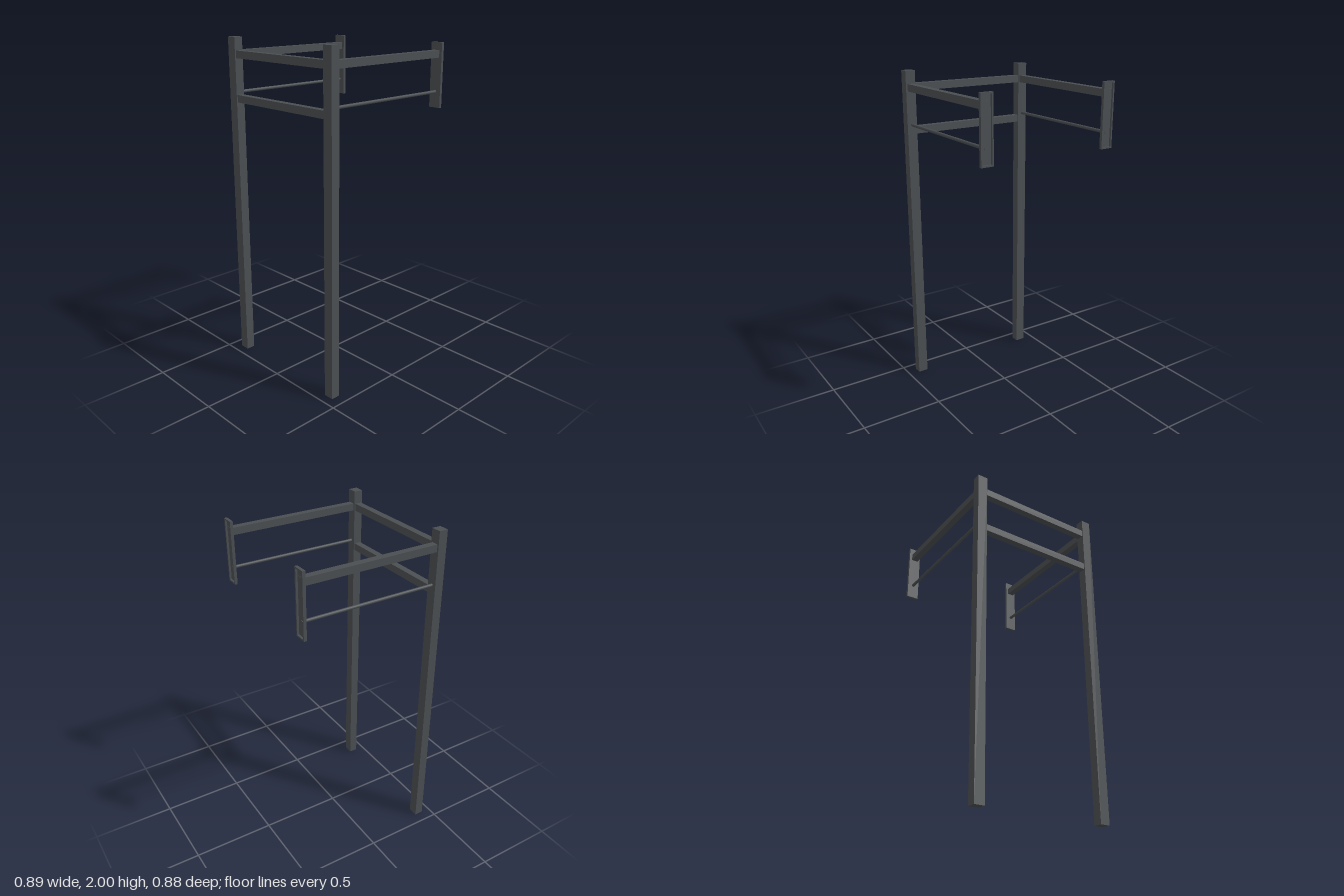
import * as THREE from 'three';

export function createModel() {
  const group = new THREE.Group();
  const steel = new THREE.MeshStandardMaterial({ color: 0x4b4f52 });
  steel.name = 'dark grey steel';

  const add = (name, geometry, x, y, z, parent = group) => {
    const mesh = new THREE.Mesh(geometry, steel);
    mesh.name = name;
    mesh.position.set(x, y, z);
    parent.add(mesh);
    return mesh;
  };
  const box = (w, h, d) => new THREE.BoxGeometry(w, h, d);

  const postX = -0.418, plateX = 0.426, sideZ = 0.403;
  const beamY = 1.902, rodY = 1.681, plateY = 1.778;
  const plateW = 0.076, plateH = 0.38, rim = 0.009;

  // End plate rim: a shallow frame opening outward
  const rect = (p, w, h) => {
    p.moveTo(-w / 2, -h / 2);
    p.lineTo(w / 2, -h / 2);
    p.lineTo(w / 2, h / 2);
    p.lineTo(-w / 2, h / 2);
    p.closePath();
    return p;
  };
  const frame = rect(new THREE.Shape(), plateW, plateH);
  frame.holes.push(rect(new THREE.Path(), plateW - 2 * rim, plateH - 2 * rim));
  const rimGeometry = new THREE.ExtrudeGeometry(frame, { depth: 0.018, bevelEnabled: false });
  rimGeometry.rotateY(Math.PI / 2);

  // Two mirrored sides: post, long beam, thin rod and end plate
  for (const s of [1, -1]) {
    const side = new THREE.Group();
    side.name = s > 0 ? 'frontSide' : 'backSide';
    side.position.z = s * sideZ;
    group.add(side);

    add('post', box(0.054, 2, 0.062), postX, 1, 0, side);
    const start = postX + 0.02, end = plateX + 0.008;
    const length = end - start, middle = (start + end) / 2;
    add('beam', box(length, 0.043, 0.041), middle, beamY, 0, side);
    const rod = new THREE.CylinderGeometry(0.0095, 0.0095, length, 16).rotateZ(Math.PI / 2);
    add('rod', rod, middle, rodY, 0, side);
    add('plateRim', rimGeometry, plateX, plateY, 0, side);
    add('plateWeb', box(0.006, plateH - 2 * rim, plateW - 2 * rim), plateX + 0.003, plateY, 0, side);
  }

  // Cross bars joining the two posts
  for (const [name, y] of [['upperCrossBar', beamY], ['lowerCrossBar', 1.646]]) {
    add(name, box(0.041, 0.044, 2 * sideZ - 0.05), postX, y, 0);
  }

  return group;
}
